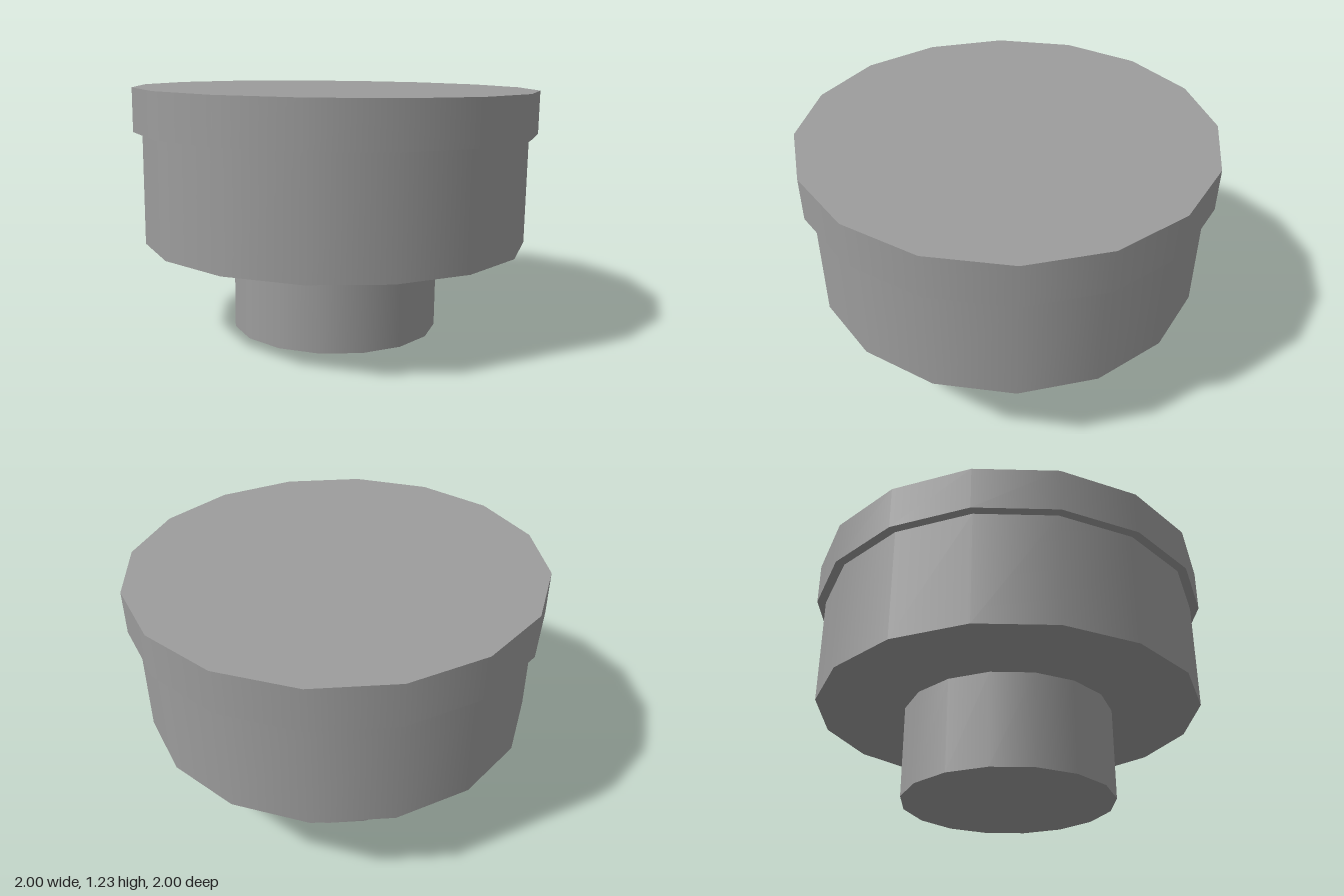
import * as THREE from 'three';

export function createModel() {
  const group = new THREE.Group();
  const material = new THREE.MeshStandardMaterial({ color: 0x9c9c9c });

  // Stacked 16-sided drums: name, radius, bottom, top
  const drums = [
    ['stem', 0.522, 0.006, 0.46],
    ['body', 0.957, 0.46, 1.007],
    ['rim', 1.0, 1.007, 1.218],
  ];
  for (const [name, radius, bottom, top] of drums) {
    const geometry = new THREE.CylinderGeometry(radius, radius, top - bottom, 16, 1, false, -0.05);
    const mesh = new THREE.Mesh(geometry, material);
    mesh.name = name;
    mesh.position.y = (bottom + top) / 2;
    group.add(mesh);
  }

  // The whole piece leans very slightly
  group.rotation.set(-0.009, 0, -0.006);
  group.position.set(-0.007, 0, 0.01);
  group.name = 'steppedKnob';
  return group;
}
